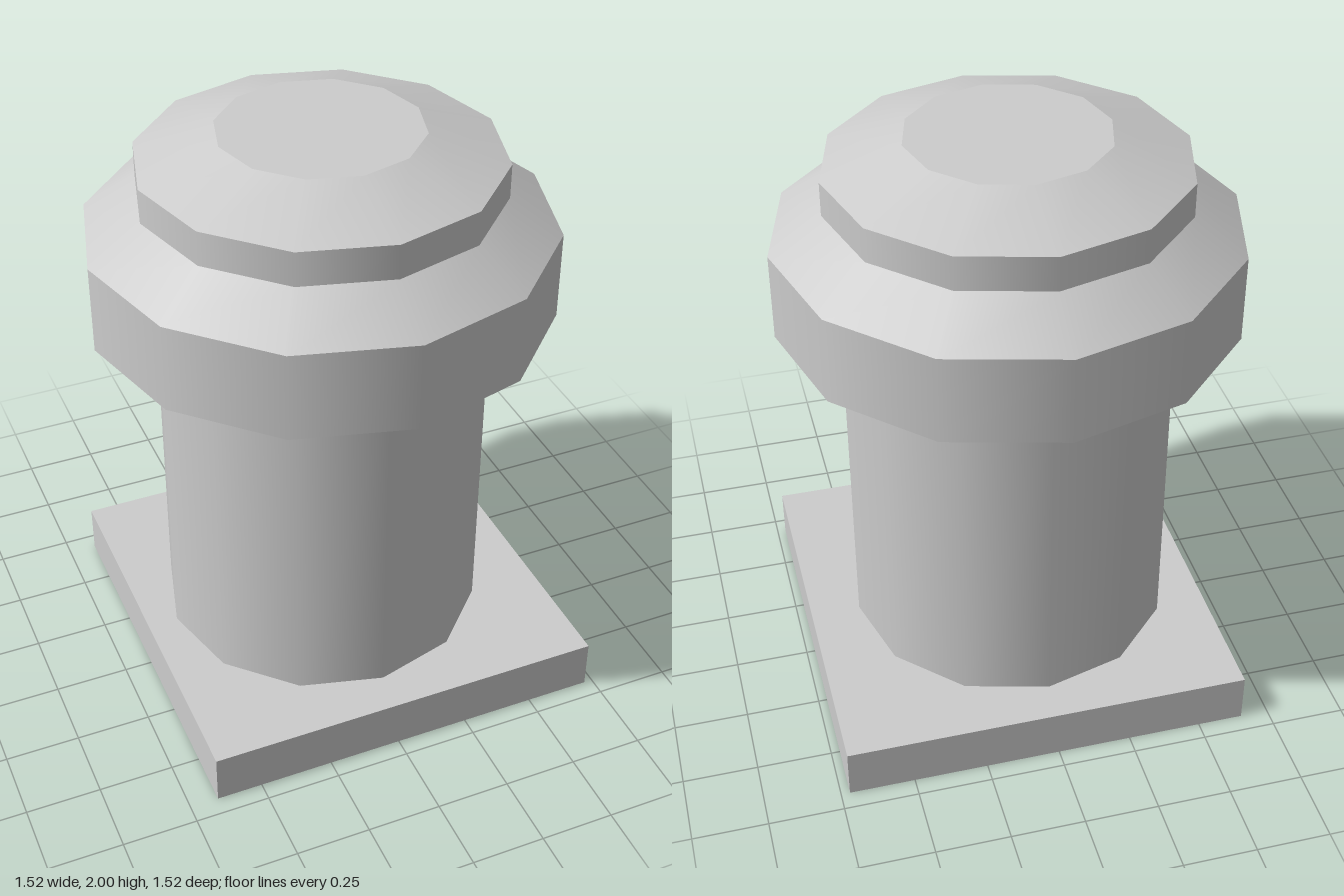
import * as THREE from 'three';

export function createModel() {
  const group = new THREE.Group();
  const stone = new THREE.MeshStandardMaterial({ color: 0xcccccc, side: THREE.DoubleSide });
  stone.name = 'grey';
  const SIDES = 12;

  const add = (name, geometry, x, y) => {
    const mesh = new THREE.Mesh(geometry, stone);
    mesh.name = name;
    mesh.position.set(x, y, 0);
    group.add(mesh);
    return mesh;
  };

  // Square base plate, open underneath, set slightly off the column's axis
  const plate = new THREE.BoxGeometry(1.375, 0.175, 1.375);
  const faces = Array.from(plate.index.array);
  faces.splice(18, 6); // drop the bottom face
  plate.setIndex(faces);
  plate.clearGroups();
  add('basePlate', plate, 0.033, 0.0875);

  // Twelve-sided bands: name, lower height and radius, upper height and radius
  const bands = [
    ['column', 0.175, 0.55, 1.29, 0.55],
    ['collarUnderside', 1.29, 0.55, 1.38, 0.76],
    ['collar', 1.38, 0.76, 1.675, 0.76],
    ['collarShoulder', 1.675, 0.76, 1.795, 0.587],
    ['capRim', 1.795, 0.587, 1.91, 0.587],
    ['capSlope', 1.91, 0.587, 2, 0.33],
  ];
  for (const [name, y0, r0, y1, r1] of bands) {
    add(name, new THREE.CylinderGeometry(r1, r0, y1 - y0, SIDES, 1, true), 0, (y0 + y1) / 2);
  }

  // Flat top
  add('capTop', new THREE.CircleGeometry(0.33, SIDES).rotateX(-Math.PI / 2), 0, 2);

  return group;
}
